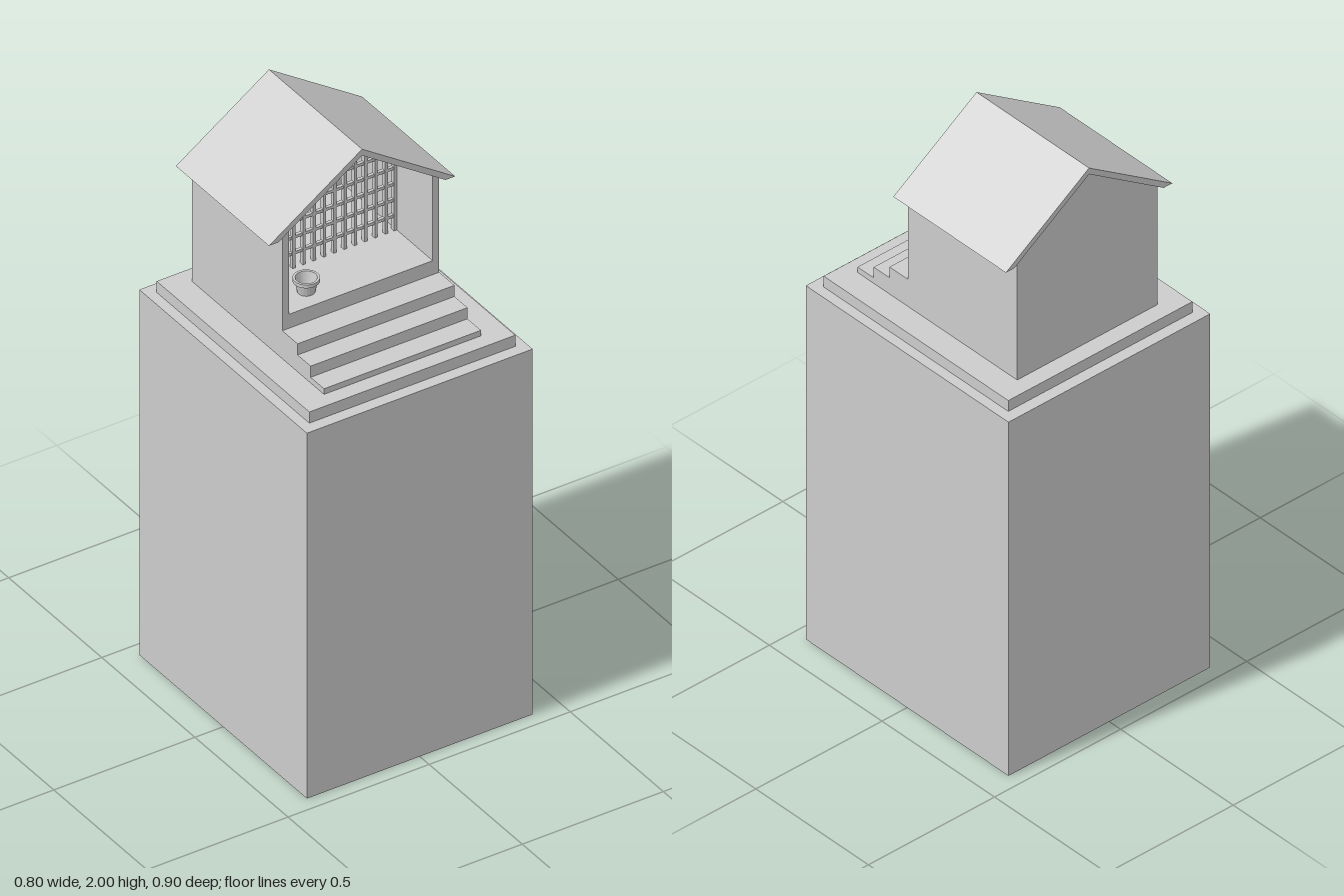
import * as THREE from 'three';

const mat = new THREE.MeshStandardMaterial({ color: 0xcccccc, side: THREE.DoubleSide, flatShading: true });
const smoothMat = new THREE.MeshStandardMaterial({ color: 0xcccccc, side: THREE.DoubleSide });

const EAVE = 1.778, RIDGE = 2, ROOF_HALF = 0.33, INNER_HALF = 0.296;
const SLOPE = (RIDGE - EAVE) / ROOF_HALF;
const undersideAt = x => EAVE + SLOPE * (INNER_HALF - Math.abs(x)); // roof underside height

function add(parent, name, geometry, material = mat) {
  const mesh = new THREE.Mesh(geometry, material);
  mesh.name = name;
  parent.add(mesh);
  return mesh;
}

// Box given by its minimum and maximum corners
function span(x0, x1, y0, y1, z0, z1) {
  return new THREE.BoxGeometry(x1 - x0, y1 - y0, z1 - z0)
    .translate((x0 + x1) / 2, (y0 + y1) / 2, (z0 + z1) / 2);
}

// Outline in x,y extruded from z0 to z1
function prism(points, z0, z1) {
  const shape = new THREE.Shape(points.map(p => new THREE.Vector2(...p)));
  return new THREE.ExtrudeGeometry(shape, { depth: z1 - z0, bevelEnabled: false }).translate(0, 0, z0);
}

export function createModel() {
  const model = new THREE.Group();
  model.name = 'shrineOnPedestal';

  // Hollow pedestal, open underneath
  const block = span(-0.4, 0.4, 0, 1.31, -0.45, 0.45);
  const index = Array.from(block.index.array);
  index.splice(18, 6); // drop the bottom face
  block.setIndex(index);
  block.clearGroups();
  add(model, 'pedestal', block);

  add(model, 'plinth', span(-0.365, 0.365, 1.31, 1.35, -0.41, 0.41));

  // House
  const house = new THREE.Group();
  house.name = 'house';
  model.add(house);
  const W = 0.278, IN = 0.255, BACK = -0.352, FRONT = 0.133, FLOOR = 1.5;

  // Floor block and steps share one side profile, swept across the width
  const profile = [[BACK, 1.35], [0.357, 1.35], [0.357, 1.37], [0.285, 1.37], [0.285, 1.41],
    [0.215, 1.41], [0.215, 1.45], [FRONT, 1.45], [FRONT, FLOOR], [BACK, FLOOR]];
  add(house, 'floorAndSteps', prism(profile.map(([z, y]) => [-z, y]), -W, W).rotateY(Math.PI / 2));

  // Side walls with sloped tops
  for (const s of [-1, 1]) {
    const wall = [[s * IN, FLOOR], [s * W, FLOOR], [s * W, undersideAt(W)], [s * IN, undersideAt(IN)]];
    add(house, s > 0 ? 'leftWall' : 'rightWall', prism(wall, BACK, FRONT));
  }

  // Back gable
  add(house, 'backWall', prism([[-IN, FLOOR], [IN, FLOOR], [IN, undersideAt(IN)],
    [0, undersideAt(0)], [-IN, undersideAt(IN)]], BACK, BACK + 0.023));

  // Pitched roof
  add(house, 'roof', prism([[-ROOF_HALF, EAVE], [-INNER_HALF, EAVE], [0, undersideAt(0)],
    [INNER_HALF, EAVE], [ROOF_HALF, EAVE], [0, RIDGE]], -0.36, 0.14));

  // Lattice screen across the room
  const lattice = new THREE.Group();
  lattice.name = 'lattice';
  house.add(lattice);
  const BAR = 0.01, Z0 = -0.075, Z1 = -0.06, PITCH = 2 * IN / 14;
  for (let i = -7; i <= 7; i++) {
    const x = THREE.MathUtils.clamp(i * PITCH, -IN + BAR / 2, IN - BAR / 2);
    add(lattice, 'uprightBar', span(x - BAR / 2, x + BAR / 2, FLOOR, undersideAt(x) + 0.004, Z0, Z1));
  }
  for (let y = FLOOR + 0.052; y < 1.95; y += 0.057) {
    const half = Math.min(IN, INNER_HALF - (y - EAVE) / SLOPE);
    add(lattice, 'crossBar', span(-half, half, y - BAR / 2, y + BAR / 2, Z0 + 0.002, Z1 - 0.002));
  }

  // Offering bowl with a rim
  const bowl = [[0, 0], [0.027, 0], [0.035, 0.038], [0.041, 0.038], [0.041, 0.05], [0.033, 0.05],
    [0.024, 0.008], [0, 0.008]].map(p => new THREE.Vector2(...p));
  const bowlMesh = add(house, 'bowl', new THREE.LatheGeometry(bowl, 24), smoothMat);
  bowlMesh.geometry = bowlMesh.geometry.toNonIndexed();
  bowlMesh.geometry.computeVertexNormals();
  bowlMesh.position.set(-0.145, FLOOR, 0.06);

  return model;
}
